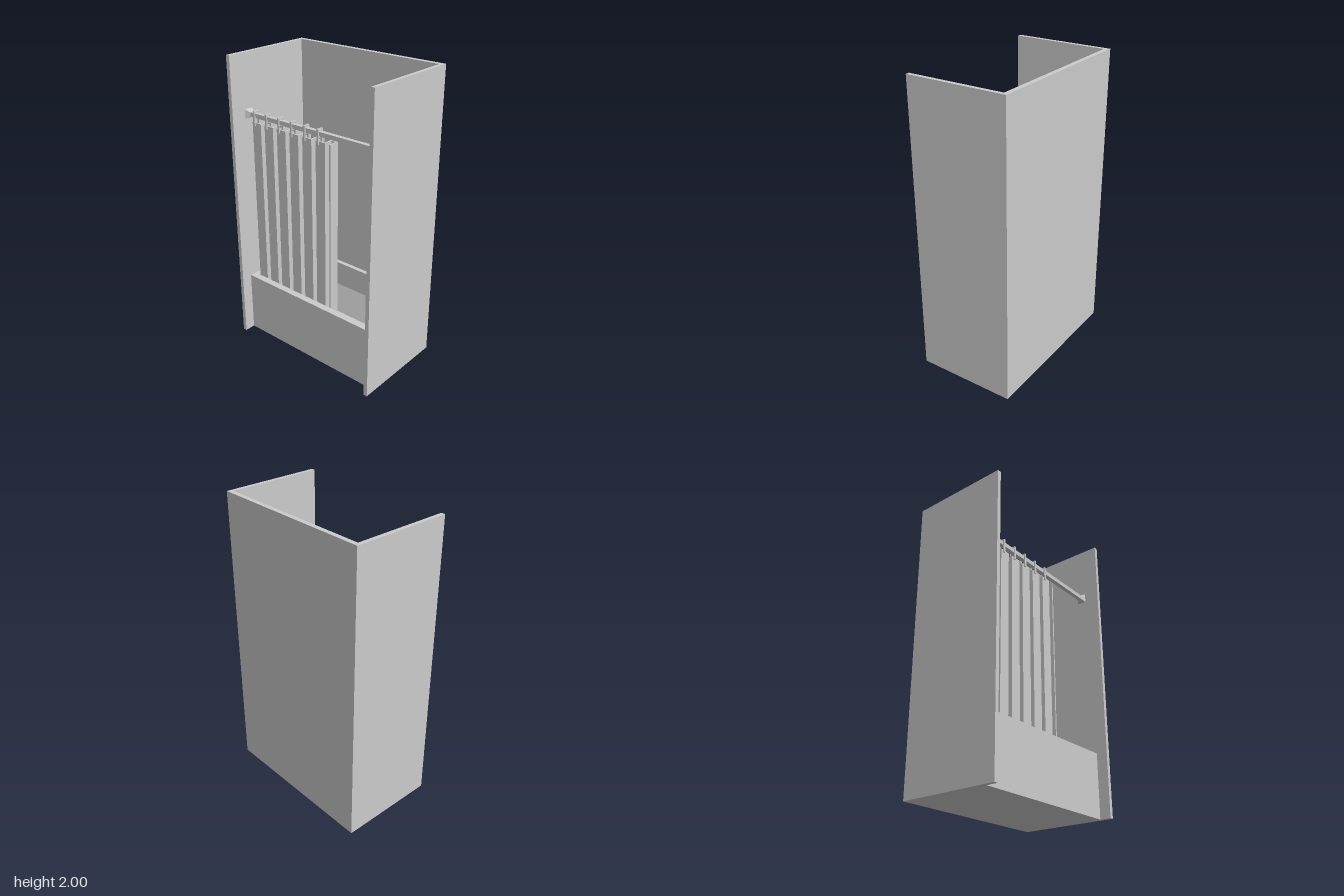
import * as THREE from 'three';

const mat = new THREE.MeshStandardMaterial({ color: 0xcccccc, flatShading: true, side: THREE.DoubleSide });

function add(parent, name, geometry) {
  const mesh = new THREE.Mesh(geometry, mat);
  mesh.name = name;
  parent.add(mesh);
  return mesh;
}

// Box given by its limits on each axis
function boxBetween(x0, x1, y0, y1, z0, z1) {
  return new THREE.BoxGeometry(x1 - x0, y1 - y0, z1 - z0)
    .translate((x0 + x1) / 2, (y0 + y1) / 2, (z0 + z1) / 2);
}

// Skin over a stack of rectangular loops, capped at both ends
function rectLoft(loops) {
  const rings = loops.map(([x0, x1, z0, z1, y]) =>
    [[x0, y, z0], [x0, y, z1], [x1, y, z1], [x1, y, z0]]);
  const pos = [];
  const quad = (a, b, c, d) => pos.push(...a, ...b, ...c, ...a, ...c, ...d);
  for (let k = 0; k + 1 < rings.length; k++) {
    for (let i = 0; i < 4; i++) {
      const j = (i + 1) % 4;
      quad(rings[k][i], rings[k][j], rings[k + 1][j], rings[k + 1][i]);
    }
  }
  quad(...[...rings[0]].reverse());
  quad(...rings[rings.length - 1]);
  const g = new THREE.BufferGeometry();
  g.setAttribute('position', new THREE.Float32BufferAttribute(pos, 3));
  g.computeVertexNormals();
  return g;
}

// Pleated curtain: a square wave of constant thickness, extruded upwards
function curtainGeometry(bottom, top) {
  const xo = -0.216, xi = -0.147, t = 0.01, start = -0.494, pitch = 0.1078, folds = 6;
  const outer = [], inner = [[xo + t, start]];
  for (let k = 0; k < folds; k++) {
    const s = start + k * pitch;
    outer.push([xo, s], [xo, s + 0.074], [xi - t, s + 0.074], [xi - t, s + pitch]);
    inner.push([xo + t, s + 0.064], [xi, s + 0.064], [xi, s + pitch + t], [xo + t, s + pitch + t]);
  }
  const end = start + folds * pitch;
  outer.push([xo, end]);
  inner[inner.length - 1] = [xo, end + t];
  const points = [...outer, ...inner.reverse()].map(([x, z]) => new THREE.Vector2(x, -z));
  return new THREE.ExtrudeGeometry(new THREE.Shape(points), { depth: top - bottom, bevelEnabled: false })
    .rotateX(-Math.PI / 2).translate(0, bottom, 0);
}

// Rectangular hook that loops around the rail
function hookGeometry() {
  const rect = (P, x0, x1, y0, y1) =>
    new P([[x0, y0], [x1, y0], [x1, y1], [x0, y1]].map(p => new THREE.Vector2(...p)));
  const shape = rect(THREE.Shape, -0.225, -0.18, 1.54, 1.637);
  shape.holes.push(rect(THREE.Path, -0.217, -0.188, 1.55, 1.625));
  return new THREE.ExtrudeGeometry(shape, { depth: 0.013, bevelEnabled: false }).translate(0, 0, -0.0065);
}

export function createModel() {
  const model = new THREE.Group();
  model.name = 'bathtubAlcove';

  // Three walls around the tub
  const walls = new THREE.Group();
  walls.name = 'walls';
  model.add(walls);
  add(walls, 'longWall', boxBetween(0.307, 0.338, 0, 2, -0.542, 0.542));
  add(walls, 'headWall', boxBetween(-0.338, 0.338, 0, 2, 0.542, 0.569));
  add(walls, 'tapWall', boxBetween(-0.338, 0.338, 0, 2, -0.569, -0.542));

  // Tub: outside, rim, upright sides with sloped backrest, sloped lower basin, floor
  add(model, 'tub', rectLoft([
    [-0.263, 0.307, -0.542, 0.542, 0],
    [-0.263, 0.307, -0.542, 0.542, 0.43],
    [-0.217, 0.277, -0.51, 0.505, 0.43],
    [-0.217, 0.277, -0.51, 0.35, 0.25],
    [-0.155, 0.215, -0.45, 0.167, 0.06],
  ]));

  // Curtain rail with flared square end brackets
  const railX = -0.2025, railY = 1.607;
  const rail = new THREE.Group();
  rail.name = 'curtainRail';
  model.add(rail);
  add(rail, 'rail', new THREE.BoxGeometry(0.029, 0.029, 1.08)).position.set(railX, railY, 0);
  for (const side of [-1, 1]) {
    const bracket = new THREE.CylinderGeometry(0.031 * Math.SQRT2, 0.0145 * Math.SQRT2, 0.032, 4)
      .rotateY(Math.PI / 4).rotateX(side * Math.PI / 2);
    add(rail, 'railBracket', bracket).position.set(railX, railY, side * 0.526);
  }

  // Hooks and curtain
  const hook = hookGeometry();
  for (let k = 0; k < 6; k++) {
    add(model, 'curtainHook', hook).position.z = -0.472 + k * 0.1078;
  }
  add(model, 'curtain', curtainGeometry(0.3, 1.56));

  return model;
}
